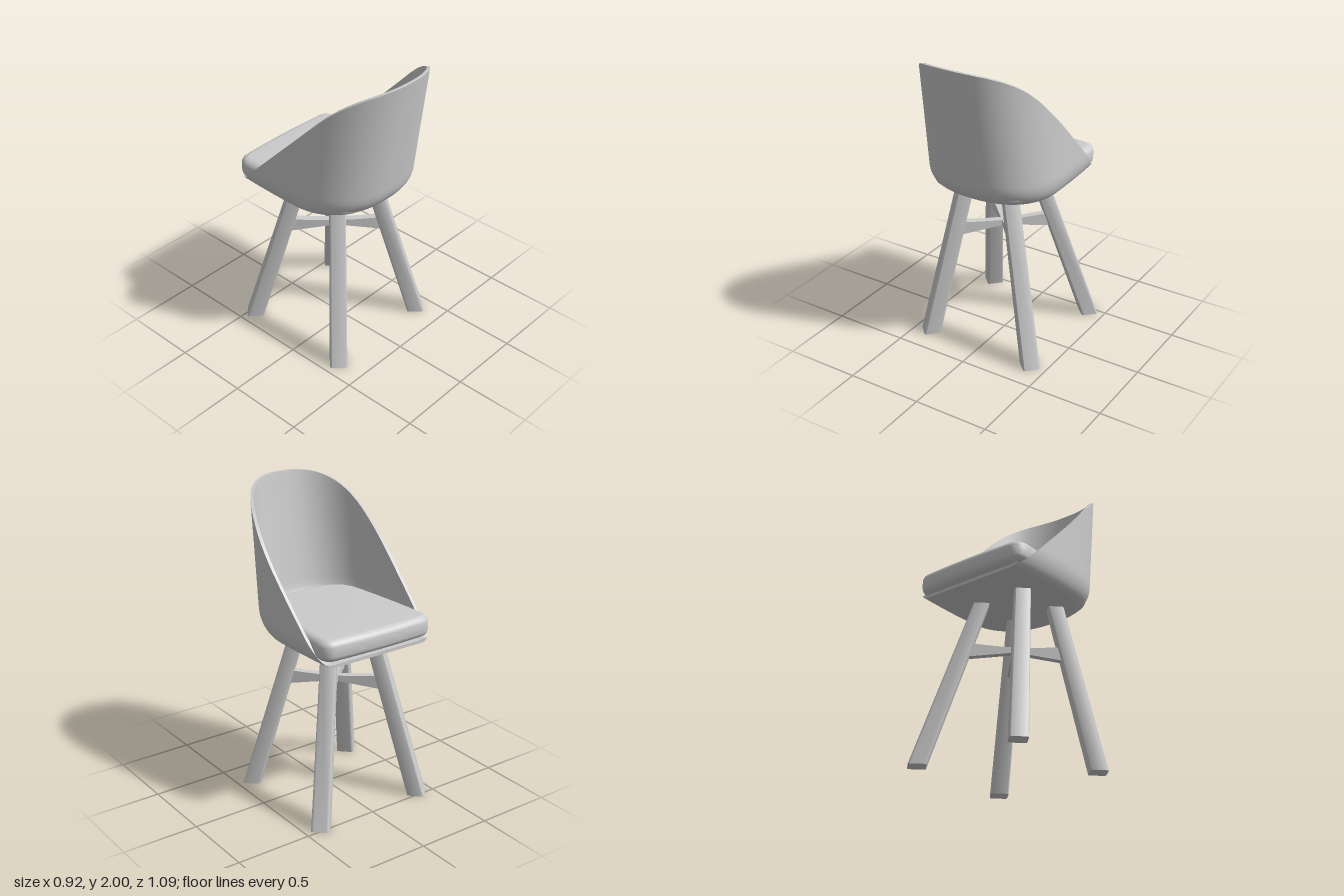
import * as THREE from 'three';
import { toCreasedNormals } from 'three/addons/utils/BufferGeometryUtils.js';

const CX = -0.027;   // middle of the seat shell
const FLOOR = 1.075; // underside of the shell
const Z0 = -0.05;    // straight sides end here, rounded back begins
const FRONT = -0.5;  // open edge of the seat
const THICK = 0.02;

const material = () => new THREE.MeshStandardMaterial({ color: 0xcccccc });
const material2 = () => new THREE.MeshStandardMaterial({ color: 0xcccccc, side: THREE.DoubleSide });

function add(parent, name, geometry, mat = material()) {
  const mesh = new THREE.Mesh(geometry, mat);
  mesh.name = name;
  parent.add(mesh);
  return mesh;
}

function build(points, index, crease) {
  const g = new THREE.BufferGeometry();
  g.setAttribute('position', new THREE.Float32BufferAttribute(points.flat(), 3));
  g.setIndex(index);
  return toCreasedNormals(g, crease);
}

// Point on the shell wall: s runs round the U from +x front (0) to -x front (1).
function wallPoint(s, h, inset) {
  const k = Math.sqrt(Math.max(0, 1 - Math.pow(1 - Math.min(1, (h - inset) / 0.16), 2)));
  const fx = 0.81 + 0.19 * k, fz = 0.64 + 0.36 * k; // rounded lower edge
  const w = 0.437 - inset;
  const b = 0.425 + 0.15 * (FLOOR + h - 1.2) - inset; // leaning back
  const side = 0.22;
  const mirror = s > 0.5 ? -1 : 1;
  const q = Math.min(s, 1 - s);
  if (q < side) {
    const t = 1 - q / side;
    return [mirror * w * fx * (1 - 0.04 * t * t), Z0 + (FRONT - Z0) * t];
  }
  const a = ((q - side) / (0.5 - side)) * Math.PI / 2;
  const e = 2 / 2.4;
  return [mirror * w * fx * Math.pow(Math.max(0, Math.cos(a)), e),
    Z0 + (b - Z0) * fz * Math.pow(Math.sin(a), e)];
}

// Sloping rim, levelling off at the top of the back.
function rimHeight(s) {
  let h = 0.5;
  for (let i = 0; i < 25; i++) {
    const z = wallPoint(s, h, 0)[1];
    h = Math.max(0.024, 1.57 + z - 0.966 * Math.max(0, z - 0.2) ** 2 - FLOOR);
  }
  return h;
}

// Shell with an outer and an inner skin, each column running floor, wall, rim, wall, floor.
function shellGeometry() {
  const cols = 96, rows = 22, M = 2 * (rows + 2);
  const pts = [], idx = [];
  for (let c = 0; c <= cols; c++) {
    const s = c / cols, H = rimHeight(s);
    const skin = (inset) => {
      const z = Math.min(wallPoint(s, H, 0)[1], Z0);
      const col = [[CX, FLOOR + inset, z]];
      for (let i = 0; i <= rows; i++) {
        const h = inset + (H - inset) * (i / rows) ** 2;
        const [x, zz] = wallPoint(s, h, inset);
        col.push([CX + x, FLOOR + h, zz]);
      }
      return col;
    };
    pts.push(...skin(0), ...skin(THICK).reverse());
  }
  for (let c = 0; c < cols; c++) {
    for (let i = 0; i < M - 1; i++) {
      const a = c * M + i;
      idx.push(a, a + 1, a + M, a + 1, a + M + 1, a + M);
    }
  }
  // close the front edge between the two skins
  const last = cols * M;
  for (let i = 0; i < M / 2 - 1; i++) {
    const j = M - 1 - i;
    idx.push(i, j, i + 1, j, j - 1, i + 1);
    idx.push(last + i, last + i + 1, last + j, last + j, last + i + 1, last + j - 1);
  }
  return build(pts, idx, 0.7);
}

// Padded seat, wider at the open edge
function cushionGeometry() {
  const s = new THREE.Shape();
  s.moveTo(-0.33, -0.472);
  s.quadraticCurveTo(0, -0.492, 0.33, -0.472);
  s.quadraticCurveTo(0.362, -0.47, 0.361, -0.42);
  s.quadraticCurveTo(0.35, -0.1, 0.315, 0.15);
  s.bezierCurveTo(0.3, 0.25, 0.26, 0.285, 0.18, 0.3);
  s.quadraticCurveTo(0, 0.32, -0.18, 0.3);
  s.bezierCurveTo(-0.26, 0.285, -0.3, 0.25, -0.315, 0.15);
  s.quadraticCurveTo(-0.35, -0.1, -0.361, -0.42);
  s.quadraticCurveTo(-0.362, -0.47, -0.33, -0.472);
  const g = new THREE.ExtrudeGeometry(s, {
    depth: 0.04, bevelSize: 0.05, bevelThickness: 0.05, bevelSegments: 8, curveSegments: 14,
  });
  g.rotateX(Math.PI / 2);
  g.translate(CX, 1.2, 0);
  return toCreasedNormals(g, 0.7);
}

// Slanted leg: rounded square, turned 45 degrees, with level ends
function legGeometry(foot, top) {
  const g = new THREE.ExtrudeGeometry(roundedSquare(0.5, 0.13), { depth: 1, bevelEnabled: false, curveSegments: 5 });
  g.rotateX(-Math.PI / 2);
  g.rotateY(Math.PI / 4);
  const p = g.attributes.position;
  for (let i = 0; i < p.count; i++) {
    const t = p.getY(i), size = 0.112 - 0.012 * t;
    p.setXYZ(i, p.getX(i) * size + foot[0] + (top[0] - foot[0]) * t, 1.09 * t,
      p.getZ(i) * size + foot[1] + (top[1] - foot[1]) * t);
  }
  return toCreasedNormals(g, 0.7);
}

function roundedSquare(a, r) {
  const s = new THREE.Shape();
  for (let i = 0; i < 4; i++) {
    const t = i * Math.PI / 2, cx = a - r;
    const x = cx * (i === 0 || i === 3 ? 1 : -1), y = cx * (i < 2 ? 1 : -1);
    s.absarc(x, y, r, t, t + Math.PI / 2, false);
  }
  s.closePath();
  return s;
}

// Brace from the hub to a leg, deeper where it meets the leg
function braceGeometry(hub, end) {
  const dx = end[0] - hub[0], dz = end[1] - hub[1], len = Math.hypot(dx, dz);
  const g = new THREE.BoxGeometry(1, 1, 0.045, 6, 1, 1);
  const p = g.attributes.position;
  for (let i = 0; i < p.count; i++) {
    const t = p.getX(i) + 0.5;
    const y = p.getY(i) > 0 ? 0.79 + 0.02 * t * t : 0.755 - 0.045 * t;
    p.setXY(i, t * len, y);
  }
  g.rotateY(Math.atan2(-dz, dx));
  g.translate(hub[0], 0, hub[1]);
  return toCreasedNormals(g, 0.6);
}

export function createModel() {
  const chair = new THREE.Group();
  chair.name = 'chair';
  add(chair, 'seatShell', shellGeometry(), material2());
  add(chair, 'seatCushion', cushionGeometry());

  const base = new THREE.Group();
  base.name = 'legBase';
  chair.add(base);
  const hub = [-0.03, -0.05];
  const legs = [
    ['LeftFront', [0.385, 0.303], [0.12, 0.13]],
    ['RightFront', [-0.387, 0.303], [-0.205, 0.13]],
    ['LeftBack', [0.38, -0.468], [0.12, -0.2]],
    ['RightBack', [-0.387, -0.468], [-0.205, -0.2]],
  ];
  for (const [name, foot, top] of legs) {
    add(base, 'leg' + name, legGeometry(foot, top));
    const end = foot.map((f, i) => f + (top[i] - f) * 0.7);
    add(base, 'brace' + name, braceGeometry(hub, end));
  }
  return chair;
}
